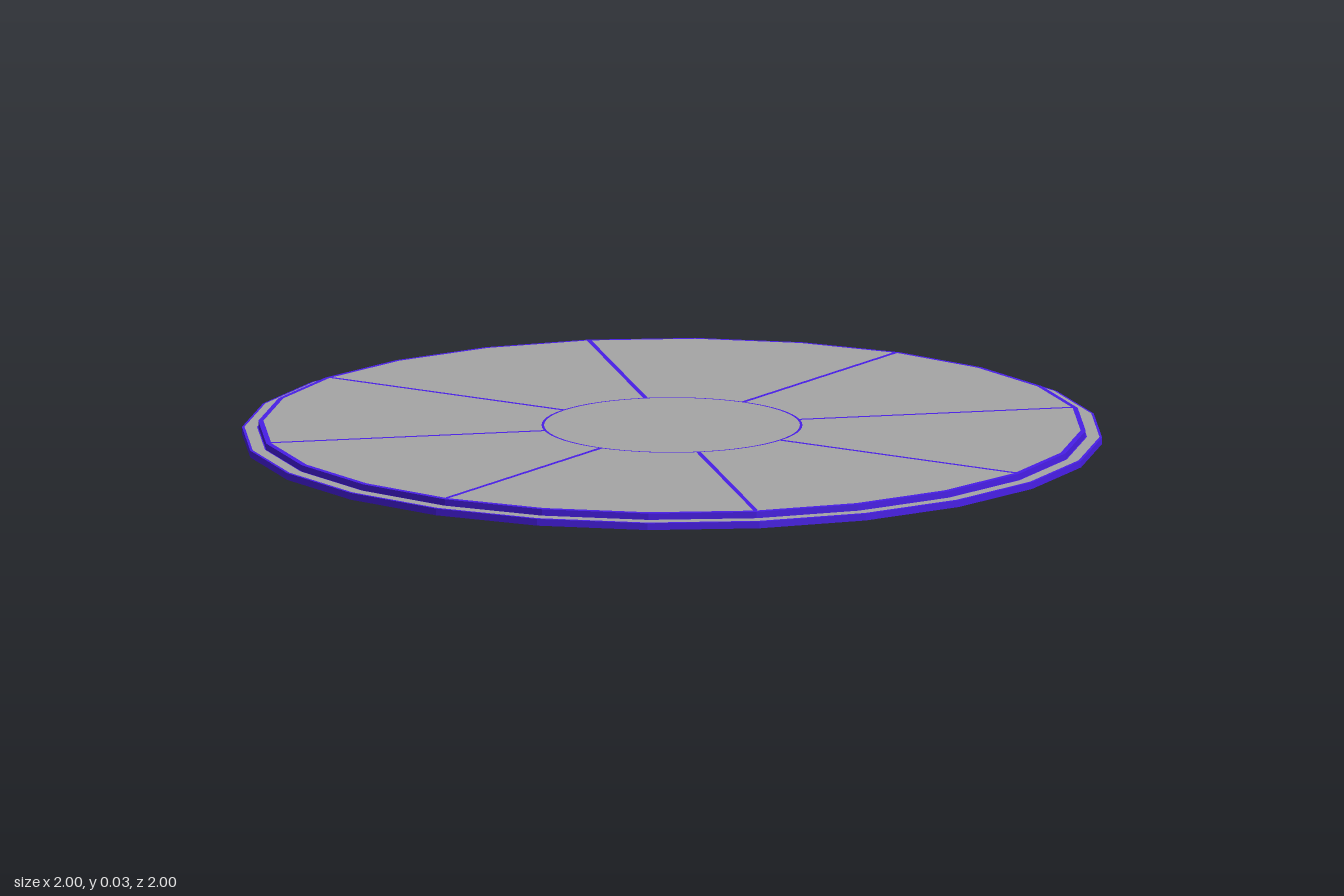
import * as THREE from 'three';

const SIDES = 24;
const BASE_TOP = 0.016;
const TOP = 0.031;

export function createModel() {
  const model = new THREE.Group();
  const purple = new THREE.MeshStandardMaterial({ name: 'violet', color: 0x4a1fec });
  const grey = new THREE.MeshStandardMaterial({ name: 'grey', color: 0xa6a6a6 });

  const add = (name, geometry, material, y) => {
    const mesh = new THREE.Mesh(geometry, material);
    mesh.name = name;
    mesh.position.y = y;
    model.add(mesh);
    return mesh;
  };
  // Stepped platform tiers with flat sides
  const tier = (radius, height) => {
    const geometry = new THREE.CylinderGeometry(radius, radius, height, SIDES).toNonIndexed();
    geometry.computeVertexNormals();
    return geometry;
  };
  // Flat face lying on top of a tier
  const ring = (inner, outer, sides) =>
    new THREE.RingGeometry(inner, outer, sides).rotateX(-Math.PI / 2);

  add('lowerTier', tier(1, BASE_TOP), purple, BASE_TOP / 2);
  add('upperTier', tier(0.962, TOP - BASE_TOP), purple, (BASE_TOP + TOP) / 2);

  // Grey surfaces, leaving a narrow violet edge on each tier
  add('lowerStepFace', ring(0.965, 0.994, SIDES), grey, BASE_TOP + 0.0006);
  add('upperFace', new THREE.CircleGeometry(0.95, SIDES).rotateX(-Math.PI / 2), grey, TOP + 0.0006);

  // Violet centre circle and eight spokes
  add('centreCircle', ring(0.297, 0.303, 64), purple, TOP + 0.0018);
  for (let i = 0; i < 8; i++) {
    const spoke = new THREE.PlaneGeometry(0.653, 0.011).rotateX(-Math.PI / 2).translate(0.6265, 0, 0);
    add('spokeLine', spoke, purple, TOP + 0.0018).rotation.y = (i * Math.PI) / 4;
  }
  return model;
}
